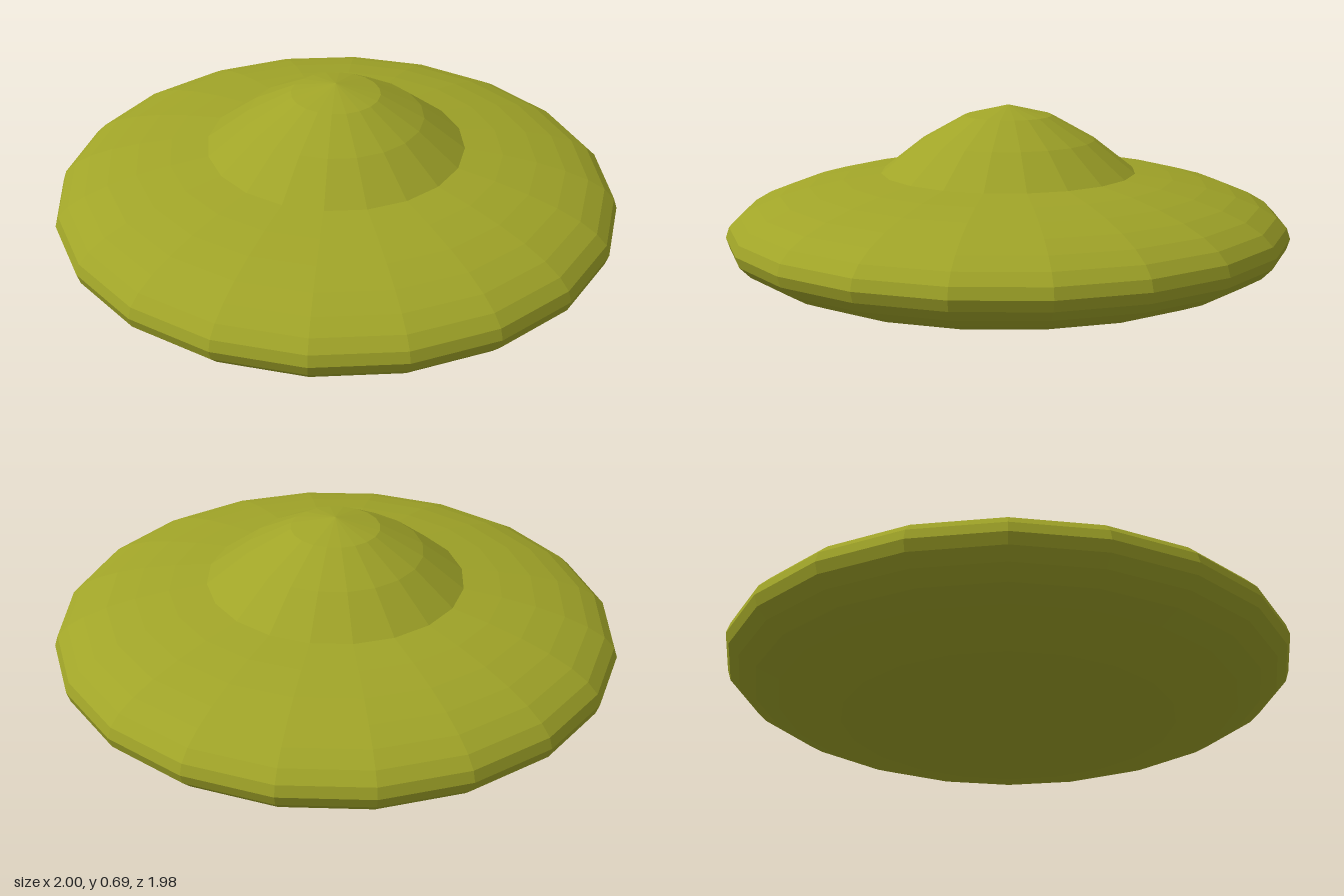
import * as THREE from 'three';

const SIDES = 20;
const STEP = Math.PI / 20; // ring spacing of the squashed sphere
const HALF_HEIGHT = 0.24;

export function createModel() {
  const group = new THREE.Group();
  group.name = 'flyingSaucer';
  const material = new THREE.MeshStandardMaterial({ color: 0xa0a428, flatShading: true });

  const addLathe = (name, points) => {
    const mesh = new THREE.Mesh(new THREE.LatheGeometry(points, SIDES), material);
    mesh.name = name;
    mesh.scale.z = 0.988; // slightly narrower front to back
    group.add(mesh);
  };

  // Point on the squashed sphere, ring 0 = bottom pole, ring 20 = top pole
  const ring = (i) => new THREE.Vector2(
    i === 0 ? 0 : Math.sin(i * STEP),
    HALF_HEIGHT * (1 - Math.cos(i * STEP)),
  );

  // Lens-shaped hull, open where the dome sits
  addLathe('hull', Array.from({ length: 18 }, (_, i) => ring(i)));

  // Pointed dome rising from the hull's last ring
  addLathe('dome', [
    ring(17),
    new THREE.Vector2(0.309, 0.566),
    new THREE.Vector2(0.156, 0.651),
    new THREE.Vector2(0, 0.688),
  ]);

  return group;
}
